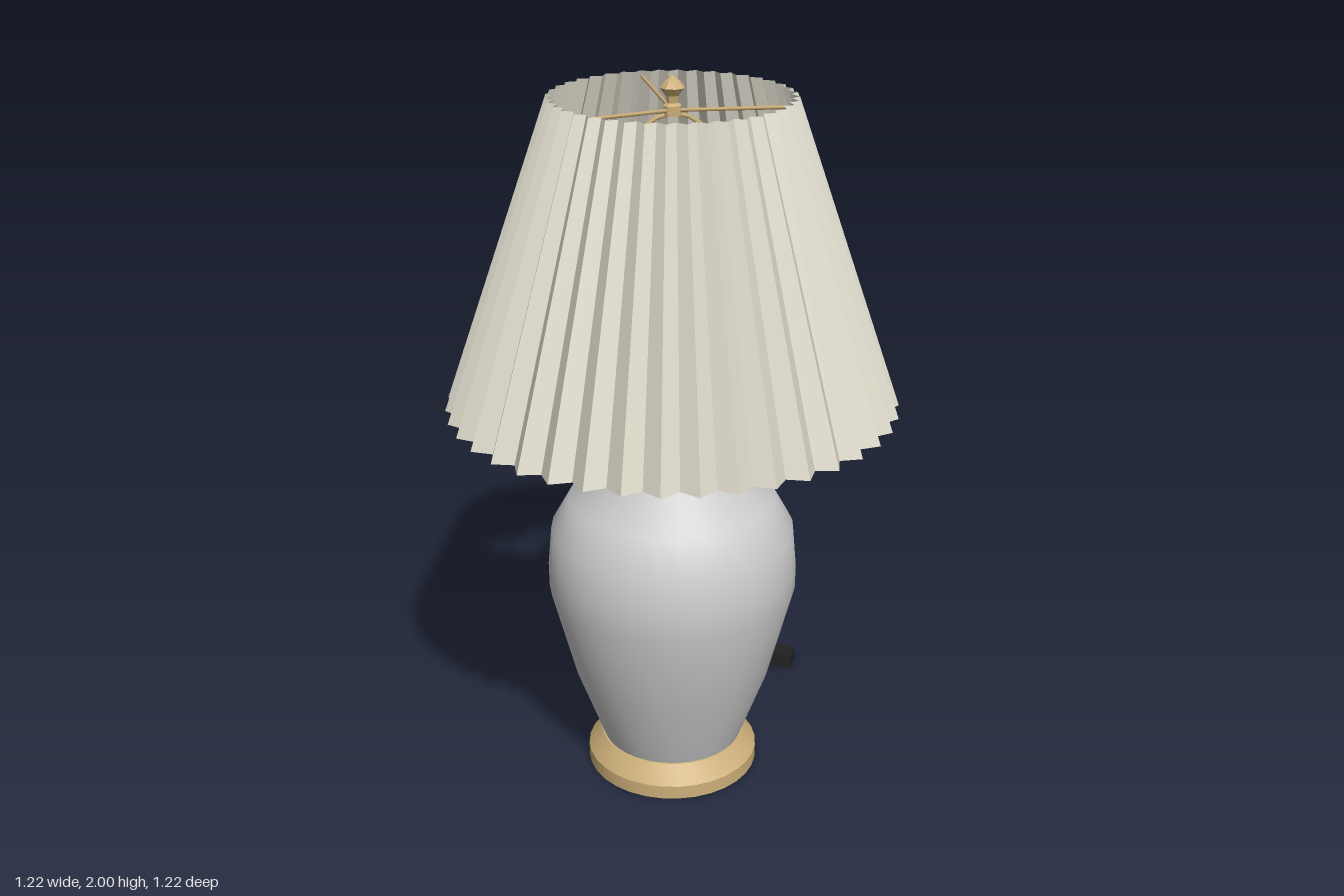
import * as THREE from 'three';
import { toCreasedNormals } from 'three/addons/utils/BufferGeometryUtils.js';

const mat = (color, extra = {}) => new THREE.MeshStandardMaterial({ color, ...extra });
const V = (x, y, z) => new THREE.Vector3(x, y, z);

export function createModel() {
  const lamp = new THREE.Group();
  lamp.name = 'tableLamp';
  const brass = mat(0xcdb07a);
  const brassFlat = mat(0xcdb07a, { flatShading: true });
  const ceramic = mat(0xdededa);
  const black = mat(0x222222);

  const add = (name, geometry, material, x = 0, y = 0, z = 0) => {
    const mesh = new THREE.Mesh(geometry, material);
    mesh.name = name;
    mesh.position.set(x, y, z);
    lamp.add(mesh);
    return mesh;
  };
  // Profile points are [radius, height], bottom to top
  const lathe = (points, sides, crease = 0.6) => toCreasedNormals(
    new THREE.LatheGeometry(points.map(p => new THREE.Vector2(...p)), sides), crease);
  const wire = (points, radius, steps = 1) => new THREE.TubeGeometry(
    new THREE.CatmullRomCurve3(points), steps, radius, 6);

  // Foot, ceramic vase and cap
  add('foot', lathe([[0, 0], [0.245, 0], [0.245, 0.04], [0.205, 0.09], [0, 0.09]], 32), brass);
  add('vase', lathe([[0.2, 0.09], [0.28, 0.31], [0.347, 0.57], [0.348, 0.64], [0.338, 0.75],
    [0.285, 0.845], [0.19, 0.92], [0.17, 0.96]], 32, 0.9), ceramic);
  add('vaseCollar', lathe([[0.17, 0.96], [0.173, 0.965], [0.175, 0.995], [0.184, 1.01], [0, 1.01]], 32), ceramic);
  add('cap', lathe([[0, 1.01], [0.186, 1.01], [0.186, 1.025], [0.165, 1.042], [0.1, 1.058],
    [0, 1.064]], 32), brass);

  // Stem, harp saddle, socket and switch
  add('stem', new THREE.CylinderGeometry(0.03, 0.03, 0.12, 12), brass, 0, 1.11);
  add('harpSaddle', new THREE.BoxGeometry(0.26, 0.015, 0.036), brass, 0, 1.16);
  add('socket', new THREE.CylinderGeometry(0.05, 0.05, 0.2, 16), brass, 0, 1.26);
  add('switchStem', new THREE.CylinderGeometry(0.008, 0.008, 0.05, 8), brass, 0.065, 1.22).rotation.z = Math.PI / 2;
  add('switchKnob', new THREE.CylinderGeometry(0.02, 0.02, 0.02, 10), brass, 0.092, 1.22).rotation.z = Math.PI / 2;

  // Bulb
  add('bulb', lathe([[0.04, 1.35], [0.045, 1.39], [0.08, 1.47], [0.095, 1.54], [0.077, 1.61],
    [0.04, 1.64], [0, 1.65]], 12, 1), mat(0xe8e5da));

  // Harp loop around the bulb
  const side = [[0.13, 1.16], [0.185, 1.3], [0.203, 1.5], [0.17, 1.72], [0.08, 1.87]];
  const harp = [
    ...side.map(([x, y]) => V(-x, y, 0)), V(0, 1.905, 0),
    ...side.map(([x, y]) => V(x, y, 0)).reverse()];
  add('harp', wire(harp, 0.006, 40), brass);

  // Three spider arms holding the shade
  for (let i = 0; i < 3; i++) {
    const a = Math.PI + i * Math.PI * 2 / 3;
    add('spiderArm', wire([V(0, 1.912, 0), V(0.303 * Math.sin(a), 1.937, 0.303 * Math.cos(a))], 0.005), brass);
  }
  add('finial', lathe([[0, 1.9], [0.024, 1.9], [0.024, 1.925], [0.015, 1.932], [0.018, 1.95],
    [0.033, 1.97], [0.02, 1.986], [0, 2]], 8, 0.1), brassFlat);

  // Pleated shade: every second column is pulled inward to form a valley
  const pleats = 40;
  const shade = new THREE.CylinderGeometry(0.32, 0.61, 0.83, pleats * 2, 1, true);
  const pos = shade.attributes.position;
  for (let i = 0; i < pos.count; i++) {
    const column = i % (pleats * 2 + 1);
    const k = column % 2 ? 0.938 : 1;
    pos.setXYZ(i, pos.getX(i) * k, pos.getY(i), pos.getZ(i) * k);
  }
  add('pleatedShade', toCreasedNormals(shade, 0.05),
    mat(0xdfdccd, { side: THREE.DoubleSide, flatShading: true }), 0, 1.535);

  // Power cord and plug
  add('cord', wire([V(0, 0.025, -0.23), V(0.01, 0.015, -0.35), V(0.08, 0.011, -0.44),
    V(0.21, 0.01, -0.475), V(0.34, 0.01, -0.455), V(0.44, 0.02, -0.405)], 0.009, 32), black);
  add('plug', new THREE.BoxGeometry(0.102, 0.042, 0.065), black, 0.46, 0.025, -0.393).rotation.y = -0.49;

  return lamp;
}
